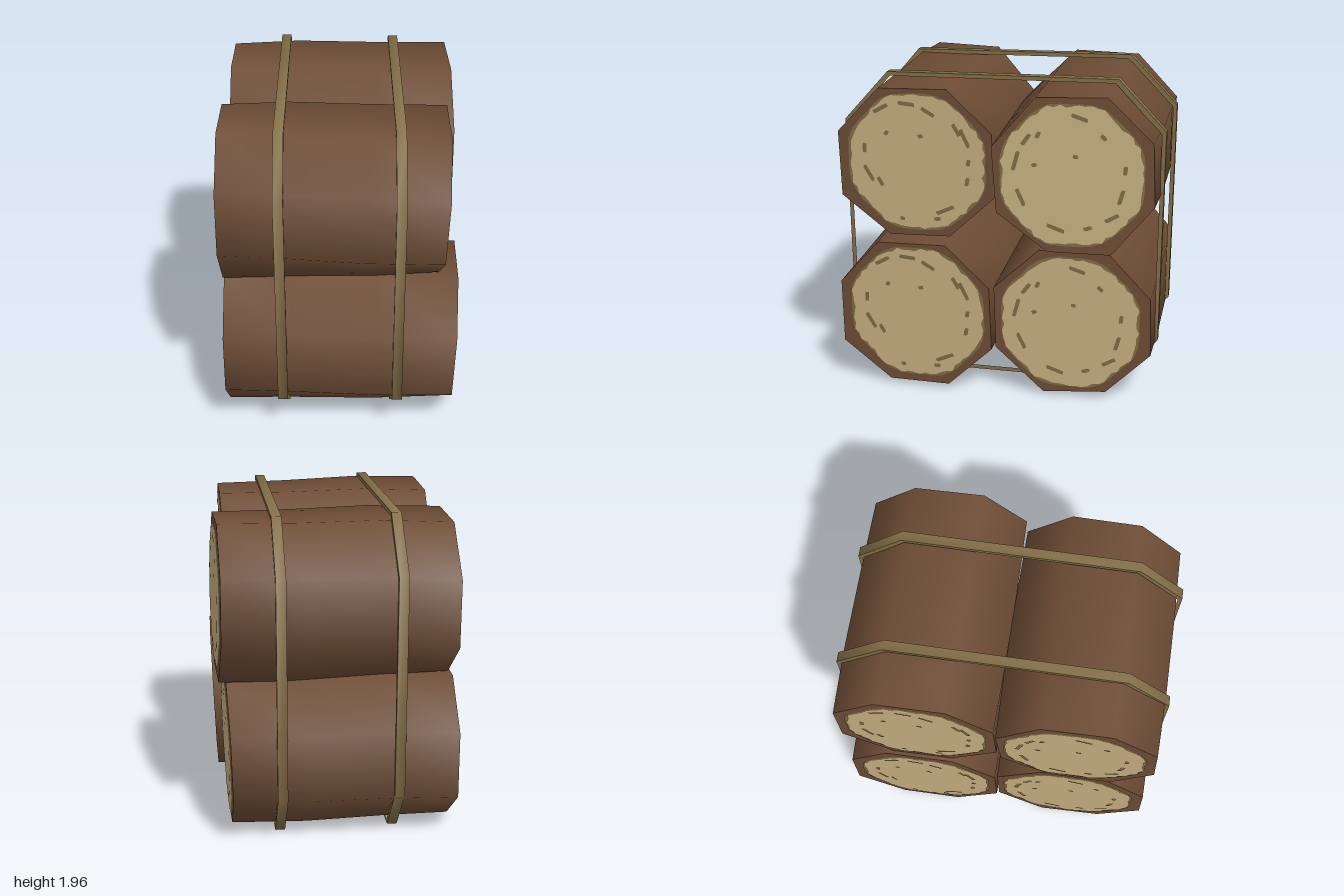
import * as THREE from 'three';
import { mergeGeometries, toCreasedNormals } from 'three/addons/utils/BufferGeometryUtils.js';

const mat = (name, color) => new THREE.MeshStandardMaterial({ name, color });

// Seeded noise for the ragged edge of the cut wood
function noise(seed) {
  return () => (seed = (seed * 16807) % 2147483647) / 2147483647;
}

// Each log: centre [z, y], slanted +x end [x, slope y, slope z], -x end, and the
// [z, y] corners of its +x end, clockwise seen from +x. Its -x end repeats the
// outline of its pair, because the back logs lie turned end for end.
const LOGS = [
  { name: 'upperFrontLog', c: [0.475, 1.445], end: [0.605, 0.04, 0], start: -0.715, pair: 1,
    corners: [[0.70, 1.90], [0.28, 1.91], [0.01, 1.65], [-0.005, 1.25], [0.28, 0.98], [0.66, 0.97], [0.96, 1.21], [0.965, 1.62]] },
  { name: 'upperBackLog', c: [-0.48, 1.445], end: [0.69, -0.015, 0.035], start: -0.70, pair: 0,
    corners: [[-0.26, 1.905], [-0.68, 1.92], [-0.95, 1.66], [-0.97, 1.28], [-0.72, 0.97], [-0.34, 0.97], [-0.03, 1.20], [0, 1.60]] },
  { name: 'lowerFrontLog', c: [0.47, 0.51], end: [0.69, 0.035, -0.02], start: -0.71, pair: 3,
    corners: [[0.71, 0.96], [0.28, 0.97], [0.01, 0.71], [0, 0.30], [0.28, 0.03], [0.66, 0.03], [0.96, 0.27], [0.96, 0.68]] },
  { name: 'lowerBackLog', c: [-0.475, 0.50], end: [0.64, 0.02, 0.02], start: -0.72, pair: 2,
    corners: [[-0.28, 0.965], [-0.70, 0.97], [-0.96, 0.69], [-0.97, 0.32], [-0.70, 0.05], [-0.31, 0.02], [-0.01, 0.30], [0, 0.70]] },
];

// Grain marks on the cut ends: right, up, angle in degrees, length
const MARKS = [
  [[-0.21, 0.33, 30, 0.10], [-0.05, 0.365, -5, 0.10], [0.08, 0.32, -30, 0.09], [0.30, 0.17, -65, 0.12],
    [0.25, 0.22, -60, 0.08], [-0.32, 0.08, 90, 0.06], [-0.30, -0.08, -60, 0.11], [-0.23, -0.13, -60, 0.06],
    [0.17, -0.29, 25, 0.12], [0.31, -0.10, 80, 0.05], [0.03, 0.17, 20, 0.03], [-0.18, 0.18, 60, 0.03],
    [-0.10, -0.36, 0, 0.03], [0.32, 0.02, 80, 0.04], [0.12, -0.35, 10, 0.04]],
  [[-0.33, 0.08, 75, 0.12], [-0.27, 0.21, 55, 0.08], [0.04, 0.35, -18, 0.10], [0.29, -0.11, 75, 0.09],
    [0.24, -0.24, 30, 0.09], [-0.30, -0.14, -65, 0.11], [-0.09, -0.32, -20, 0.11], [0.10, -0.31, 20, 0.05],
    [-0.20, 0.24, 70, 0.04], [0.31, 0.05, 85, 0.05], [0.18, 0.24, -40, 0.04], [0.02, 0.12, 0, 0.03],
    [-0.22, 0.06, 30, 0.03]],
];

// Bark sections: position along the log from -x to +x, scale, lift
const SECTIONS = [[0, 0.995, 0], [0.3, 1.012, 0.008], [0.66, 1.01, -0.005], [1, 0.992, 0]];

function barkGeometry(log) {
  const [cz, cy] = log.c, [e, ey, ez] = log.end, n = 8;
  const far = LOGS[log.pair].corners;
  const pos = [], index = [], rings = [];
  SECTIONS.forEach(([t, s, lift], i) => {
    const ring = log.corners.map(([z, y], j) => {
      const [fz, fy] = far[(n + 1 - j) % n];
      const Z = cz + s * (THREE.MathUtils.lerp(-fz, z, t) - cz);
      const Y = cy + lift + s * (THREE.MathUtils.lerp(fy, y, t) - cy);
      const endX = e + ey * (Y - cy) + ez * (Z - cz);
      return [THREE.MathUtils.lerp(log.start, endX, t), Math.max(Y, 0.012), Z];
    });
    rings.push(ring);
    ring.forEach((p) => pos.push(...p));
    if (i === SECTIONS.length - 1) return;
    for (let j = 0; j < n; j++) {
      const a = i * n + j, b = i * n + (j + 1) % n;
      index.push(a, a + n, b, b, a + n, b + n);
    }
  });
  const g = new THREE.BufferGeometry();
  g.setAttribute('position', new THREE.Float32BufferAttribute(pos, 3));
  g.setIndex(index);
  g.computeVertexNormals();
  return { g, rings };
}

// Lays a flat outline (right, up) on one end of a log; side is +1 or -1
function onEnd(points, log, side, lift) {
  const g = new THREE.ShapeGeometry(new THREE.Shape(points.map(([u, v]) => new THREE.Vector2(u, v))));
  const p = g.attributes.position, [cz, cy] = log.c, [e, ey, ez] = log.end;
  for (let i = 0; i < p.count; i++) {
    const dy = p.getY(i), dz = -side * p.getX(i);
    const x = side > 0 ? e + ey * dy + ez * dz + lift : log.start - lift;
    p.setXYZ(i, x, cy + dy, cz + dz);
  }
  g.computeVertexNormals();
  return g;
}

function disc(radius, jag, count, rnd) {
  return Array.from({ length: count }, (_, i) => {
    const a = (i / count) * Math.PI * 2;
    const r = radius + 0.008 * Math.cos(8 * (a - Math.PI / 8)) + (rnd() - 0.5) * jag;
    return [r * Math.cos(a), r * 1.01 * Math.sin(a)];
  });
}

// A short dash with clipped corners
function dash([u, v, deg, len]) {
  const a = THREE.MathUtils.degToRad(deg), h = len / 2, w = 0.012;
  return [[-h, -w * 0.6], [-h + 0.01, -w], [h, -w], [h, w * 0.6], [h - 0.01, w], [-h, w]]
    .map(([x, y]) => [u + x * Math.cos(a) - y * Math.sin(a), v + x * Math.sin(a) + y * Math.cos(a)]);
}

// Binding strap: closed band round the bundle, [z, y] corners, soft bends and sharp rims
function strapGeometry(corners, width) {
  const t = 0.026;
  const path = (k) => corners.map(([z, y]) =>
    new THREE.Vector2(-z * (1 - k), 0.985 + (y - 0.985) * (1 - k)));
  const shape = new THREE.Shape(path(0));
  shape.holes.push(new THREE.Path(path(t)));
  const g = new THREE.ExtrudeGeometry(shape, { depth: width, bevelEnabled: false })
    .translate(0, 0, -width / 2).rotateY(Math.PI / 2);
  return toCreasedNormals(g, 1.2);
}

export function createModel() {
  const bark = mat('bark', 0x6d4c35);
  const wood = mat('cut wood', 0xc7b081);
  const grain = mat('grain', 0x7f6b45);
  const strapMat = mat('strap', 0x836e47);
  const model = new THREE.Group();
  const add = (parent, name, g, m) => {
    const mesh = new THREE.Mesh(g, m);
    mesh.name = name;
    parent.add(mesh);
  };

  LOGS.forEach((log, i) => {
    const group = new THREE.Group();
    group.name = log.name;
    const [cz, cy] = log.c, { g, rings } = barkGeometry(log);
    add(group, 'bark', g, bark);
    for (const side of [1, -1]) {
      const rnd = noise(101 + i * 37 + side * 11);
      const ring = side > 0 ? rings[rings.length - 1] : rings[0];
      const outline = ring.map(([, y, z]) => [-side * (z - cz), y - cy]);
      add(group, 'barkEnd', onEnd(outline, log, side, 0), bark);
      add(group, 'grainRim', onEnd(disc(0.432, 0.006, 40, rnd), log, side, 0.003), grain);
      add(group, 'cutWood', onEnd(disc(0.42, 0.022, 72, rnd), log, side, 0.006), wood);
      const marks = MARKS[side * cz > 0 ? 0 : 1];
      add(group, 'grainMarks', mergeGeometries(marks.map((m) => onEnd(dash(m), log, side, 0.009))), grain);
    }
    model.add(group);
  });

  // Two straps
  add(model, 'rightStrap', strapGeometry([[0.72, 1.945], [-0.69, 1.963], [-0.995, 1.65], [-0.99, 0.32],
    [-0.73, 0.005], [0.66, 0.005], [0.98, 0.26], [0.985, 1.64]], 0.06).translate(-0.36, 0, 0), strapMat);
  add(model, 'leftStrap', strapGeometry([[0.72, 1.94], [-0.70, 1.955], [-0.99, 1.65], [-0.985, 0.31],
    [-0.73, 0.003], [0.66, 0.003], [0.985, 0.26], [1.0, 1.63]], 0.06).translate(0.335, 0, 0), strapMat);

  return model;
}
